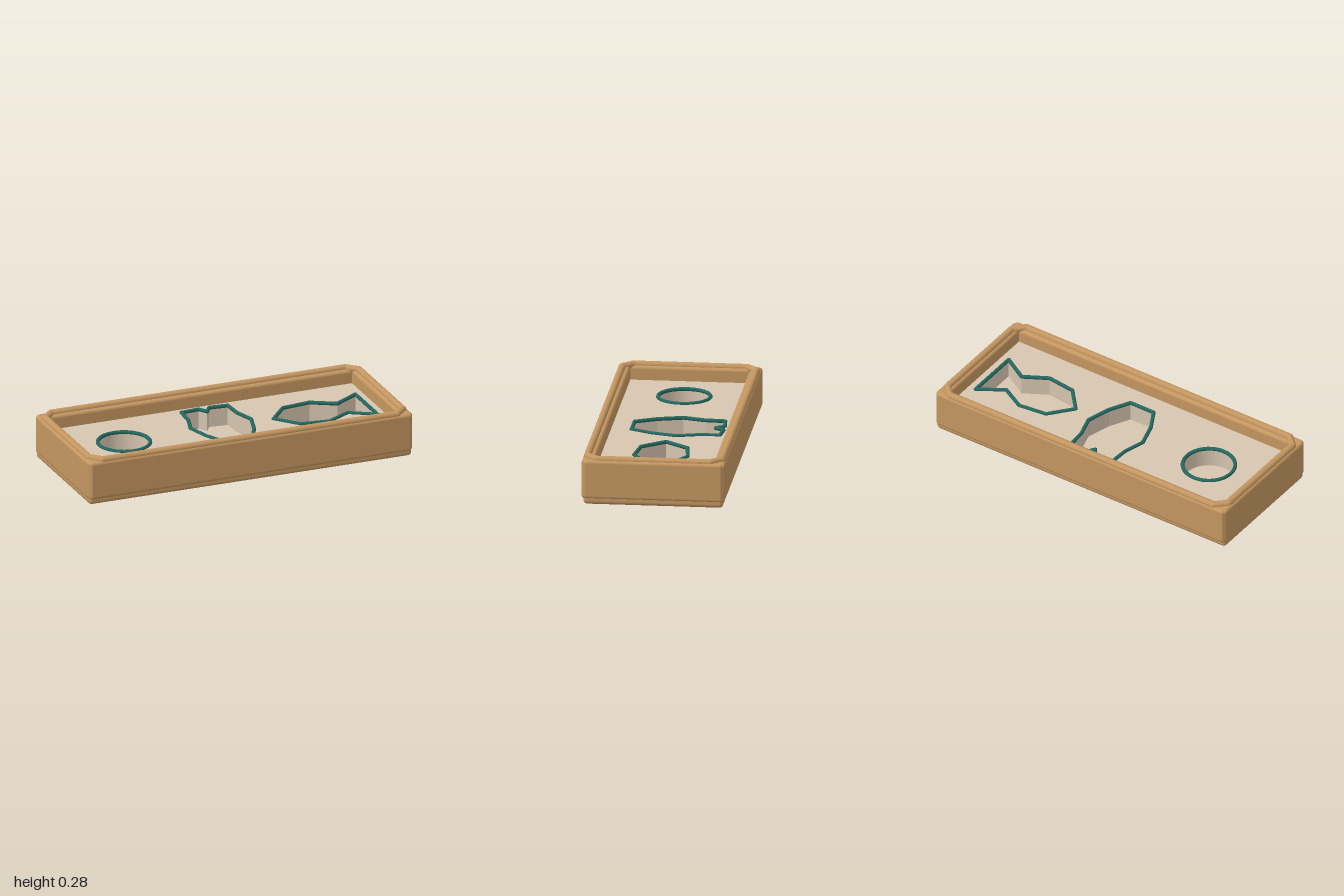
import * as THREE from 'three';
import { RoundedBoxGeometry } from 'three/addons/geometries/RoundedBoxGeometry.js';
import { mergeGeometries } from 'three/addons/utils/BufferGeometryUtils.js';

const mat = (name, color) => {
  const m = new THREE.MeshStandardMaterial({ color });
  m.name = name;
  return m;
};

export function createModel() {
  const model = new THREE.Group();
  model.name = 'shapeTray';
  const wood = mat('warm wood', 0xc49660);
  const linen = mat('pale inlay', 0xd6c5b0);
  const teal = mat('deep teal', 0x23665e);

  const add = (name, geometry, material, x = 0, y = 0, z = 0) => {
    const mesh = new THREE.Mesh(geometry, material);
    mesh.name = name;
    mesh.position.set(x, y, z);
    model.add(mesh);
    return mesh;
  };

  // A closed bead made of rods with round joints, following [x, z] points
  const bead = (points, radius) => {
    const parts = [];
    const up = new THREE.Vector3(0, 1, 0);
    points.forEach(([x, z], i) => {
      const a = new THREE.Vector3(x, 0, z);
      const [nx, nz] = points[(i + 1) % points.length];
      const b = new THREE.Vector3(nx, 0, nz);
      const dir = b.clone().sub(a);
      const length = dir.length();
      const rod = new THREE.CylinderGeometry(radius, radius, length, 12, 1, true);
      rod.applyQuaternion(new THREE.Quaternion().setFromUnitVectors(up, dir.normalize()));
      rod.translate((x + nx) / 2, 0, (z + nz) / 2);
      parts.push(rod, new THREE.SphereGeometry(radius, 12, 8).translate(x, 0, z));
    });
    return mergeGeometries(parts);
  };

  // Base slab and four rounded walls
  add('base', new RoundedBoxGeometry(1.99, 0.06, 0.8, 3, 0.022), wood, 0, 0.03, 0);
  for (const s of [-1, 1]) {
    add(s > 0 ? 'frontWall' : 'backWall',
      new RoundedBoxGeometry(1.985, 0.228, 0.07, 3, 0.018), wood, 0, 0.147, s * 0.376);
    add(s > 0 ? 'leftWall' : 'rightWall',
      new RoundedBoxGeometry(0.07, 0.228, 0.8, 3, 0.018), wood, s * 0.965, 0.147, 0);
  }

  // Rounded rim with clipped corners
  const X = 0.967, Z = 0.385, c = 0.06;
  add('rim', bead([
    [-X + c, Z], [X - c, Z], [X, Z - c], [X, -Z + c],
    [X - c, -Z], [-X + c, -Z], [-X, -Z + c], [-X, Z - c],
  ], 0.021), wood, 0, 0.262, 0);

  // Pocket outlines as [x, z]
  const circle = Array.from({ length: 48 }, (_, i) => {
    const a = (i / 48) * Math.PI * 2;
    return [-0.615 + 0.15 * Math.cos(a), -0.003 + 0.15 * Math.sin(a)];
  });
  const owl = [
    [0, -0.25], [0.033, -0.3], [0.143, -0.29], [0.15, -0.17], [0.187, -0.045], [0.145, 0.1], [0.08, 0.223],
    [-0.08, 0.223], [-0.145, 0.1], [-0.187, -0.045], [-0.15, -0.17], [-0.143, -0.29], [-0.033, -0.3],
  ];
  const fish = [
    [0.305, 0], [0.418, -0.135], [0.59, -0.155], [0.73, -0.077], [0.88, -0.17],
    [0.88, 0.165], [0.73, 0.075], [0.59, 0.153], [0.418, 0.132],
  ];

  // Inlay panel with the pockets cut through
  const toPoints = (list) => list.map(([x, z]) => new THREE.Vector2(x, z));
  const panel = new THREE.Shape(toPoints([[-0.935, -0.345], [0.935, -0.345], [0.935, 0.345], [-0.935, 0.345]]));
  const pockets = { circle, owl, fish };
  for (const outline of Object.values(pockets)) panel.holes.push(new THREE.Path(toPoints(outline)));
  const panelGeometry = new THREE.ExtrudeGeometry(panel, { depth: 0.125, bevelEnabled: false });
  panelGeometry.rotateX(Math.PI / 2);
  add('inlayPanel', panelGeometry, linen, 0, 0.18, 0);
  add('pocketFloor', new THREE.BoxGeometry(1.87, 0.008, 0.69), linen, 0, 0.06, 0);

  // Teal trim around each pocket
  for (const [name, outline] of Object.entries(pockets)) {
    add(name + 'Trim', bead(outline, 0.011), teal, 0, 0.183, 0);
  }
  return model;
}
